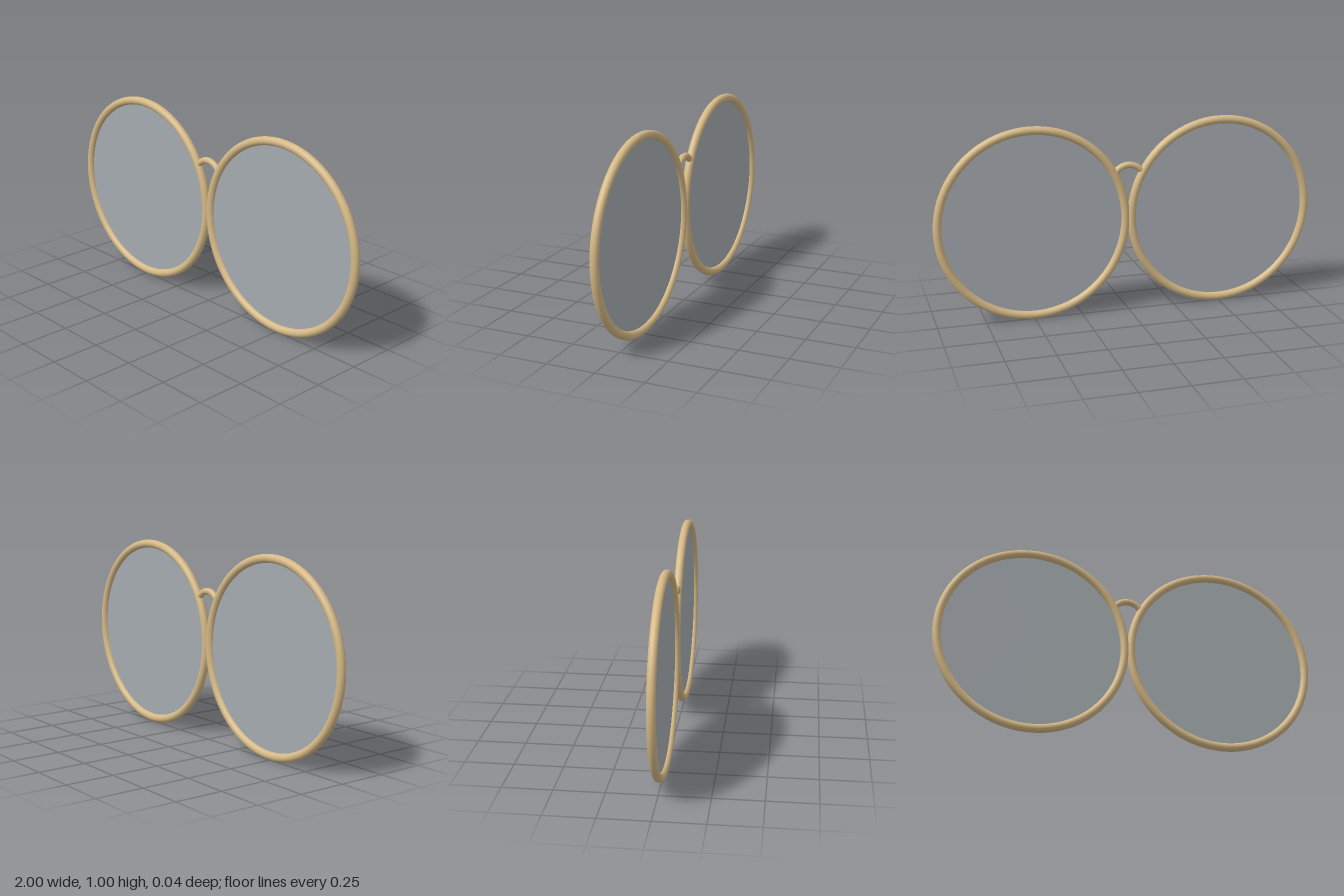
import * as THREE from 'three';

const RING = 0.481;    // centreline radius of a rim
const TUBE = 0.0215;   // rim wire radius
const CENTRE_Y = RING + TUBE;
const CENTRE_X = 1 - RING - TUBE;

export function createModel() {
  const group = new THREE.Group();
  const gold = new THREE.MeshStandardMaterial({ color: 0xd4b886 });
  gold.name = 'pale gold';
  const glass = new THREE.MeshStandardMaterial({ color: 0xa4aaaf, side: THREE.DoubleSide });
  glass.name = 'grey glass';

  const add = (name, geometry, material, x, y) => {
    const mesh = new THREE.Mesh(geometry, material);
    mesh.name = name;
    mesh.position.set(x, y, 0);
    group.add(mesh);
  };

  // round wire rims with flat lenses
  const rim = new THREE.TorusGeometry(RING, TUBE, 20, 96);
  const lens = new THREE.CircleGeometry(RING, 96);
  for (const [side, s] of [['left', 1], ['right', -1]]) {
    add(side + 'Rim', rim, gold, s * CENTRE_X, CENTRE_Y);
    add(side + 'Lens', lens, glass, s * CENTRE_X, CENTRE_Y);
  }

  // arched nose bridge, its ends sunk into the rims
  const wire = 0.0165, half = 0.066, endY = 0.746, topY = 0.777;
  const rise = topY - endY;
  const radius = (half * half + rise * rise) / (2 * rise);
  const angle = Math.asin(half / radius);
  const arch = new THREE.TorusGeometry(radius, wire, 16, 32, 2 * angle);
  arch.rotateZ(Math.PI / 2 - angle);
  add('bridge', arch, gold, 0, topY - radius);

  // rounded ends of the bridge
  const tip = new THREE.SphereGeometry(wire, 16, 12);
  for (const s of [1, -1]) add('bridgeEnd', tip, gold, s * half, endY);

  return group;
}
